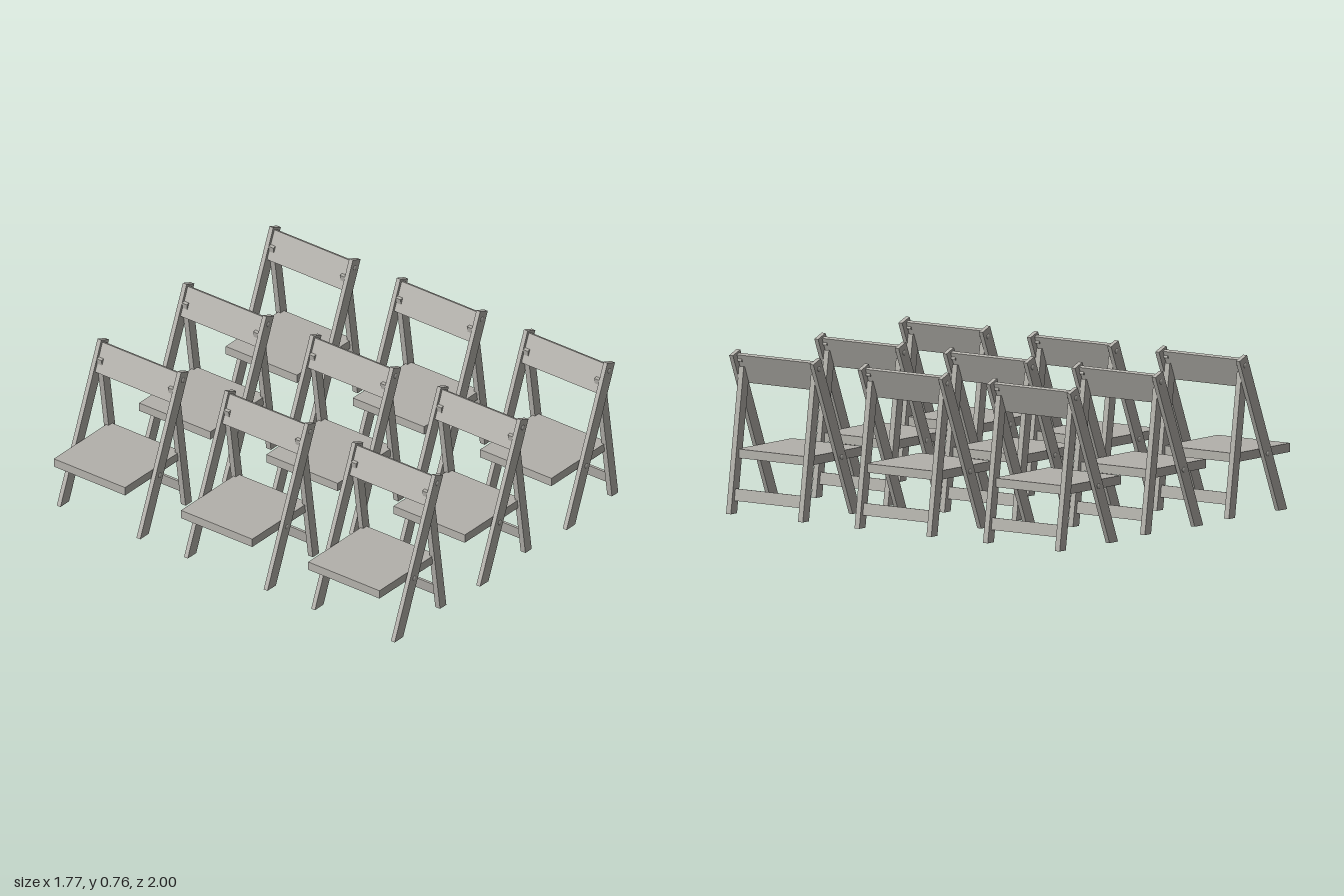
import * as THREE from 'three';

const paint = new THREE.MeshStandardMaterial({ color: 0xb3b1ab });
paint.name = 'warm grey paint';

// Extrude a polygon given as [a, b] pairs
function slab(points, depth) {
  const shape = new THREE.Shape(points.map(([a, b]) => new THREE.Vector2(a, b)));
  return new THREE.ExtrudeGeometry(shape, { depth, bevelEnabled: false });
}

// Shared geometries; each chair faces -x
const frontLegGeo = slab([[-0.174, 0], [-0.11, 0], [0.189, 0.734], [0.132, 0.757]], 0.022);
const rearLegGeo = slab([[0.194, 0], [0.241, 0], [0.143, 0.68], [0.097, 0.673]], 0.028);
const seatGeo = slab([
  [-0.242, -0.21], [0.156, -0.21], [0.156, -0.197], [0.178, -0.197],
  [0.178, 0.197], [0.156, 0.197], [0.156, 0.21], [-0.242, 0.21],
], 0.042).rotateX(-Math.PI / 2);
const panelGeo = new THREE.BoxGeometry(0.019, 0.146, 0.449);
const railGeo = new THREE.BoxGeometry(0.011, 0.057, 0.396);
const pinGeo = new THREE.CylinderGeometry(0.008, 0.008, 0.045, 12).rotateX(Math.PI / 2);
const headGeo = new THREE.SphereGeometry(0.012, 12, 8).scale(1, 1, 0.35);

function createChair() {
  const chair = new THREE.Group();
  const add = (name, geo, x, y, z, tilt = 0) => {
    const mesh = new THREE.Mesh(geo, paint);
    mesh.name = name;
    mesh.position.set(x, y, z);
    mesh.rotation.z = tilt;
    chair.add(mesh);
  };

  add('seat', seatGeo, 0, 0.256, 0);
  add('backPanel', panelGeo, 0.122, 0.671, 0, -0.385);
  add('rearRail', railGeo, 0.205, 0.088, 0, 0.143);

  // Both sides: long slanted leg outside, rear leg inside
  for (const side of [1, -1]) {
    add('frontLeg', frontLegGeo, 0, 0, side > 0 ? 0.224 : -0.246);
    add('rearLeg', rearLegGeo, 0, 0, side > 0 ? 0.196 : -0.224);
    // Pivot pins with domed heads at the seat and at the back
    for (const [x, y] of [[-0.026, 0.277], [0.146, 0.709]]) {
      add('pivotPin', pinGeo, x, y, side * 0.2235);
      add('pivotHead', headGeo, x, y, side * 0.246);
    }
  }
  return chair;
}

export function createModel() {
  const model = new THREE.Group();
  model.name = 'foldingChairs';
  // Three by three block of chairs
  for (const x of [-0.646, -0.007, 0.641]) {
    for (const z of [-0.75, 0, 0.75]) {
      const chair = createChair();
      chair.name = 'foldingChair';
      chair.position.set(x, 0, z);
      model.add(chair);
    }
  }
  return model;
}
